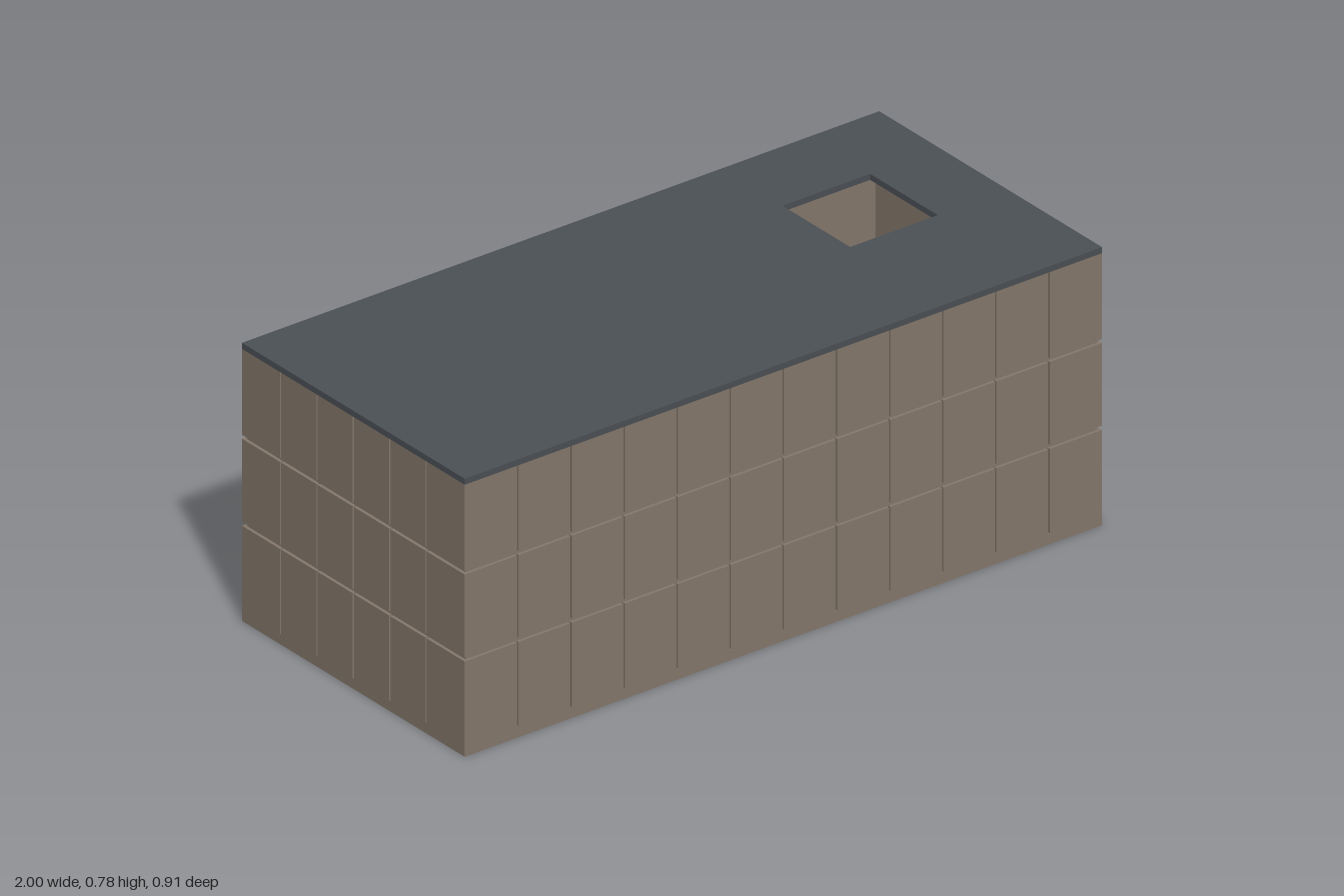
import * as THREE from 'three';

const W = 1, D = 0.453, T = 0.052, GROOVE = 0.009;   // half width, half depth, wall, groove depth
const BASE = 0.03, EAVE = 0.766, TOP = 0.783;
const DOOR = { x0: 0.395, x1: 0.675, y0: 0.03, y1: 0.395 };
const ROWS = [[0.03, 0.268], [0.28, 0.513], [0.524, EAVE]];

const wallMat = new THREE.MeshStandardMaterial({ color: 0x85786c });
wallMat.name = 'brown cladding';
const roofMat = new THREE.MeshStandardMaterial({ color: 0x4c5156 });
roofMat.name = 'slate grey';

// Box given by its minimum and maximum corners
function block(parent, name, a, b, mat = wallMat) {
  const mesh = new THREE.Mesh(new THREE.BoxGeometry(b[0] - a[0], b[1] - a[1], b[2] - a[2]), mat);
  mesh.position.set((a[0] + b[0]) / 2, (a[1] + b[1]) / 2, (a[2] + b[2]) / 2);
  mesh.name = name;
  parent.add(mesh);
  return mesh;
}

// Rectangle minus the opening, as up to four rectangles
function cut([x0, x1, y0, y1], o) {
  if (!o || x1 <= o.x0 || x0 >= o.x1 || y1 <= o.y0 || y0 >= o.y1) return [[x0, x1, y0, y1]];
  const l = Math.max(x0, o.x0), r = Math.min(x1, o.x1);
  return [
    [x0, l, y0, y1], [r, x1, y0, y1],
    [l, r, o.y1, y1], [l, r, y0, o.y0],
  ].filter(([a, b, c, d]) => b - a > 1e-4 && d - c > 1e-4);
}

// Wall in its own frame: outer face at z = 0, inside towards -z
function buildWall(name, half, columns, opening, inset) {
  const wall = new THREE.Group();
  wall.name = name;
  const coreHalf = half - inset;
  for (const [a, b, c, d] of cut([-coreHalf, coreHalf, BASE, EAVE], opening))
    block(wall, 'wallCore', [a, c, -T], [b, d, -GROOVE]);
  const end = half - (inset > GROOVE ? GROOVE : 0);
  block(wall, 'baseRail', [-end, 0, -T], [end, BASE, 0]);

  // Raised cladding panels with narrow gaps
  const step = (2 * end) / columns, gap = 0.0025;
  for (let i = 0; i < columns; i++) {
    const x0 = -end + i * step + (i ? gap : 0);
    const x1 = -end + (i + 1) * step - (i < columns - 1 ? gap : 0);
    for (const [y0, y1] of ROWS)
      for (const [a, b, c, d] of cut([x0, x1, y0, y1], opening))
        block(wall, 'claddingPanel', [a, c, -GROOVE - 0.001], [b, d, 0]);
  }
  return wall;
}

export function createModel() {
  const model = new THREE.Group();
  model.name = 'claddedBuilding';

  // Long walls; the back wall is turned, so its opening is mirrored
  const front = buildWall('frontWall', W, 12, null, GROOVE);
  front.position.z = D;
  const back = buildWall('backWall', W, 12, { ...DOOR, x0: -DOOR.x1, x1: -DOOR.x0 }, GROOVE);
  back.position.z = -D;
  back.rotation.y = Math.PI;
  model.add(front, back);

  // Dark joint strips in two seams of each long wall
  for (const s of [1, -1])
    for (const x of [0, 1 / 3])
      for (const [y0, y1] of ROWS) {
        const z = s * (D - GROOVE + 0.001);
        block(model, 'jointStrip', [x - 0.0025, y0 + 0.03, z - 0.002], [x + 0.0025, y1 - 0.03, z + 0.002], roofMat);
      }

  // End walls fit between the long walls
  for (const s of [1, -1]) {
    const side = buildWall(s > 0 ? 'leftWall' : 'rightWall', D, 6, null, T);
    side.position.x = s * W;
    side.rotation.y = s * Math.PI / 2;
    model.add(side);
  }

  // Door surround
  const zo = -D - 0.008, zi = -D + 0.012, f = 0.012;
  block(model, 'doorLintel', [DOOR.x0 - f, DOOR.y1, zo], [DOOR.x1 + f, DOOR.y1 + f, zi]);
  block(model, 'doorJamb', [DOOR.x0 - f, BASE, zo], [DOOR.x0, DOOR.y1, zi]);
  block(model, 'doorJamb', [DOOR.x1, BASE, zo], [DOOR.x1 + f, DOOR.y1, zi]);

  // Flat roof with a square opening
  const shape = new THREE.Shape([[-W, -D], [W, -D], [W, D], [-W, D]].map(p => new THREE.Vector2(...p)));
  shape.holes.push(new THREE.Path([[0.505, -0.07], [0.505, 0.205], [0.78, 0.205], [0.78, -0.07]]
    .map(p => new THREE.Vector2(...p))));
  const roofGeo = new THREE.ExtrudeGeometry(shape, { depth: TOP - EAVE, bevelEnabled: false });
  roofGeo.rotateX(-Math.PI / 2);
  const roof = new THREE.Mesh(roofGeo, roofMat);
  roof.name = 'roof';
  roof.position.y = EAVE;
  model.add(roof);

  // Ceiling beams across the building, clear of the roof opening
  for (let i = 0; i < 12; i++) {
    const x = -11 / 12 + i / 6;
    if (x > 0.49 && x < 0.79) continue;
    block(model, 'ceilingBeam', [x - 0.008, EAVE - 0.016, -D + T], [x + 0.008, EAVE, D - T]);
  }
  return model;
}
